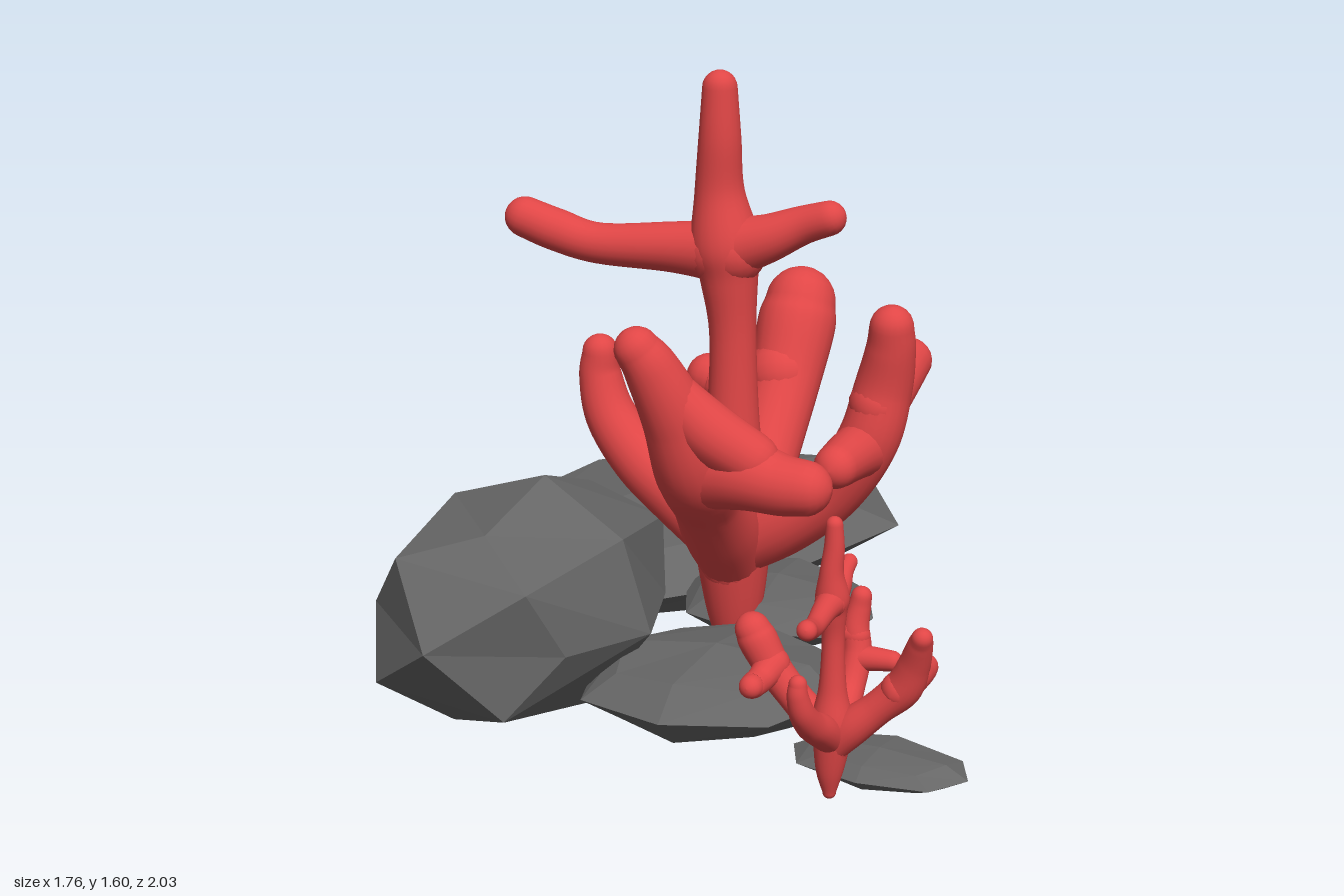
import * as THREE from 'three';

const coralMaterial = new THREE.MeshStandardMaterial({ color: 0xe04646 });
const rockMaterial = new THREE.MeshStandardMaterial({ color: 0x666666, flatShading: true });

// Faceted boulder: a once-subdivided cube rounded off, stretched along two half-axes and a thickness
function rock(name, centre, axisU, axisV, thickness) {
  const geometry = new THREE.BoxGeometry(2, 2, 2, 2, 2, 2);
  const p = geometry.attributes.position;
  const rounding = [1, 1, 0.75, 5 / 9]; // face centre, edge midpoint, corner
  const v = new THREE.Vector3();
  for (let i = 0; i < p.count; i++) {
    v.fromBufferAttribute(p, i);
    const k = Math.round(Math.abs(v.x) + Math.abs(v.y) + Math.abs(v.z));
    v.multiplyScalar(rounding[k]);
    p.setXYZ(i, v.x, v.y, v.z);
  }
  const u = new THREE.Vector3(...axisU);
  const w = new THREE.Vector3(...axisV);
  const n = u.clone().cross(w).setLength(thickness);
  geometry.applyMatrix4(new THREE.Matrix4().makeBasis(u, w, n));
  geometry.computeVertexNormals();
  const mesh = new THREE.Mesh(geometry, rockMaterial);
  mesh.name = name;
  mesh.position.set(...centre);
  return mesh;
}

// Round-ended limb through stations [x, y, z, radius]
function limb(name, stations) {
  const path = new THREE.CatmullRomCurve3(stations.map(s => new THREE.Vector3(s[0], s[1], s[2])), false, 'catmullrom');
  const girth = new THREE.CatmullRomCurve3(stations.map(s => new THREE.Vector3(s[3], 0, 0)), false, 'catmullrom');
  const sides = 20, capRings = 6, steps = (stations.length - 1) * 8;

  // Rings: start cap, body, end cap
  const rings = [];
  const addRing = (t, angle) => {
    const tangent = path.getTangent(t);
    const r = girth.getPoint(t).x;
    rings.push({
      centre: path.getPoint(t).addScaledVector(tangent, r * Math.sin(angle)),
      radius: r * Math.cos(angle), tangent,
    });
  };
  for (let i = capRings; i > 0; i--) addRing(0, -i / capRings * Math.PI / 2);
  for (let i = 0; i <= steps; i++) addRing(i / steps, 0);
  for (let i = 1; i <= capRings; i++) addRing(1, i / capRings * Math.PI / 2);

  const positions = [], indices = [];
  const first = rings[0].tangent;
  const normal = Math.abs(first.z) < 0.8 ? new THREE.Vector3(0, 0, 1) : new THREE.Vector3(1, 0, 0);
  rings.forEach(({ centre, radius, tangent }, i) => {
    normal.addScaledVector(tangent, -normal.dot(tangent)).normalize();
    const binormal = tangent.clone().cross(normal);
    for (let j = 0; j < sides; j++) {
      const a = j / sides * Math.PI * 2;
      const q = centre.clone()
        .addScaledVector(normal, radius * Math.cos(a))
        .addScaledVector(binormal, radius * Math.sin(a));
      positions.push(q.x, q.y, q.z);
      if (i < rings.length - 1) {
        const k = (j + 1) % sides, s = i * sides;
        indices.push(s + j, s + k, s + sides + j, s + k, s + sides + k, s + sides + j);
      }
    }
  });
  const geometry = new THREE.BufferGeometry();
  geometry.setAttribute('position', new THREE.Float32BufferAttribute(positions, 3));
  geometry.setIndex(indices);
  geometry.computeVertexNormals();
  const mesh = new THREE.Mesh(geometry, coralMaterial);
  mesh.name = name;
  return mesh;
}

function coral(name) {
  const group = new THREE.Group();
  group.name = name;
  group.add(
    // Trunk and crown
    limb('trunk', [[0.09, 0.13, 0.13, 0.035], [0.09, 0.25, 0.13, 0.07], [0.09, 0.42, 0.14, 0.095], [0.09, 0.53, 0.14, 0.105],
      [0.09, 0.7, 0.14, 0.07], [0.09, 0.95, 0.14, 0.057], [0.08, 1.1, 0.14, 0.07], [0.07, 1.19, 0.14, 0.085],
      [0.055, 1.32, 0.14, 0.06], [0.06, 1.45, 0.15, 0.051], [0.06, 1.57, 0.15, 0.042]]),
    limb('crownLeftProng', [[0.05, 1.17, 0.14, 0.08], [0.17, 1.21, 0.14, 0.06], [0.26, 1.25, 0.13, 0.047], [0.33, 1.275, 0.13, 0.042]]),
    limb('crownRightProng', [[0.09, 1.17, 0.14, 0.08], [-0.06, 1.17, 0.15, 0.062], [-0.25, 1.165, 0.17, 0.05],
      [-0.36, 1.19, 0.18, 0.052], [-0.435, 1.22, 0.2, 0.05]]),
    // Front branch with its side prong and the web between them
    limb('frontBranch', [[0.09, 0.38, 0.14, 0.08], [0.1, 0.5, 0.24, 0.095], [0.12, 0.62, 0.37, 0.085], [0.14, 0.74, 0.49, 0.095],
      [0.12, 0.88, 0.55, 0.08], [0.08, 1.0, 0.59, 0.065], [0.05, 1.055, 0.61, 0.053]]),
    limb('frontProng', [[0.13, 0.73, 0.47, 0.09], [0.26, 0.75, 0.5, 0.085], [0.36, 0.74, 0.51, 0.072], [0.42, 0.74, 0.51, 0.065]]),
    limb('frontWeb', [[0.1, 0.96, 0.57, 0.055], [0.19, 0.86, 0.54, 0.07], [0.29, 0.79, 0.51, 0.065]]),
    // Back branch with its side prong
    limb('backBranch', [[0.09, 0.38, 0.15, 0.08], [0.1, 0.5, 0.05, 0.09], [0.1, 0.61, -0.06, 0.085], [0.1, 0.75, -0.18, 0.09],
      [0.1, 0.88, -0.26, 0.1], [0.1, 0.935, -0.29, 0.09]]),
    limb('backProng', [[0.09, 0.77, -0.18, 0.09], [-0.01, 0.73, -0.2, 0.07], [-0.09, 0.725, -0.21, 0.065], [-0.12, 0.73, -0.21, 0.06]]),
    // Left branch with prongs to front and back
    limb('leftBranch', [[0.09, 0.42, 0.14, 0.08], [0.22, 0.5, 0.14, 0.085], [0.35, 0.6, 0.14, 0.075], [0.44, 0.74, 0.14, 0.075],
      [0.47, 0.87, 0.12, 0.07], [0.49, 0.97, 0.13, 0.06], [0.495, 1.03, 0.14, 0.053]]),
    limb('leftFrontProng', [[0.43, 0.72, 0.14, 0.07], [0.43, 0.73, 0.23, 0.062], [0.43, 0.735, 0.33, 0.053]]),
    limb('leftBackProng', [[0.46, 0.83, 0.13, 0.07], [0.47, 0.87, 0.03, 0.065], [0.475, 0.89, -0.05, 0.057]]),
    // Right branch
    limb('rightBranch', [[0.09, 0.42, 0.14, 0.08], [-0.04, 0.52, 0.13, 0.085], [-0.16, 0.6, 0.12, 0.075], [-0.25, 0.7, 0.11, 0.065],
      [-0.285, 0.8, 0.1, 0.054], [-0.285, 0.865, 0.1, 0.045]]),
  );
  return group;
}

export function createModel() {
  const model = new THREE.Group();
  model.name = 'coralRocks';

  // Rocks
  model.add(
    rock('largeBackRock', [-0.32, 0.21, -0.39], [0.37, 0, -0.61], [-0.39, 0, -0.24], 0.14),
    rock('boulder', [-0.335, 0.33, 0.45], [-0.195, 0.235, -0.023], [0.27, 0.19, 0], 0.47),
    rock('frontFlatRock', [0.165, 0.18, 0.42], [0.31, 0, -0.02], [-0.03, 0, 0.28], 0.1),
    rock('backFlatRock', [0.15, 0.215, -0.02], [0.26, 0, 0.01], [0.01, 0, 0.22], 0.078),
    rock('pebble', [0.655, 0.152, 0.63], [0.215, 0, 0.015], [-0.015, 0, 0.12], 0.038),
  );

  // Large coral, and a small one turned a quarter
  model.add(coral('largeCoral'));
  const small = coral('smallCoral');
  small.scale.setScalar(0.45);
  small.rotation.y = Math.PI / 2;
  small.position.set(0.516, 0.055, 0.78);
  model.add(small);
  return model;
}
